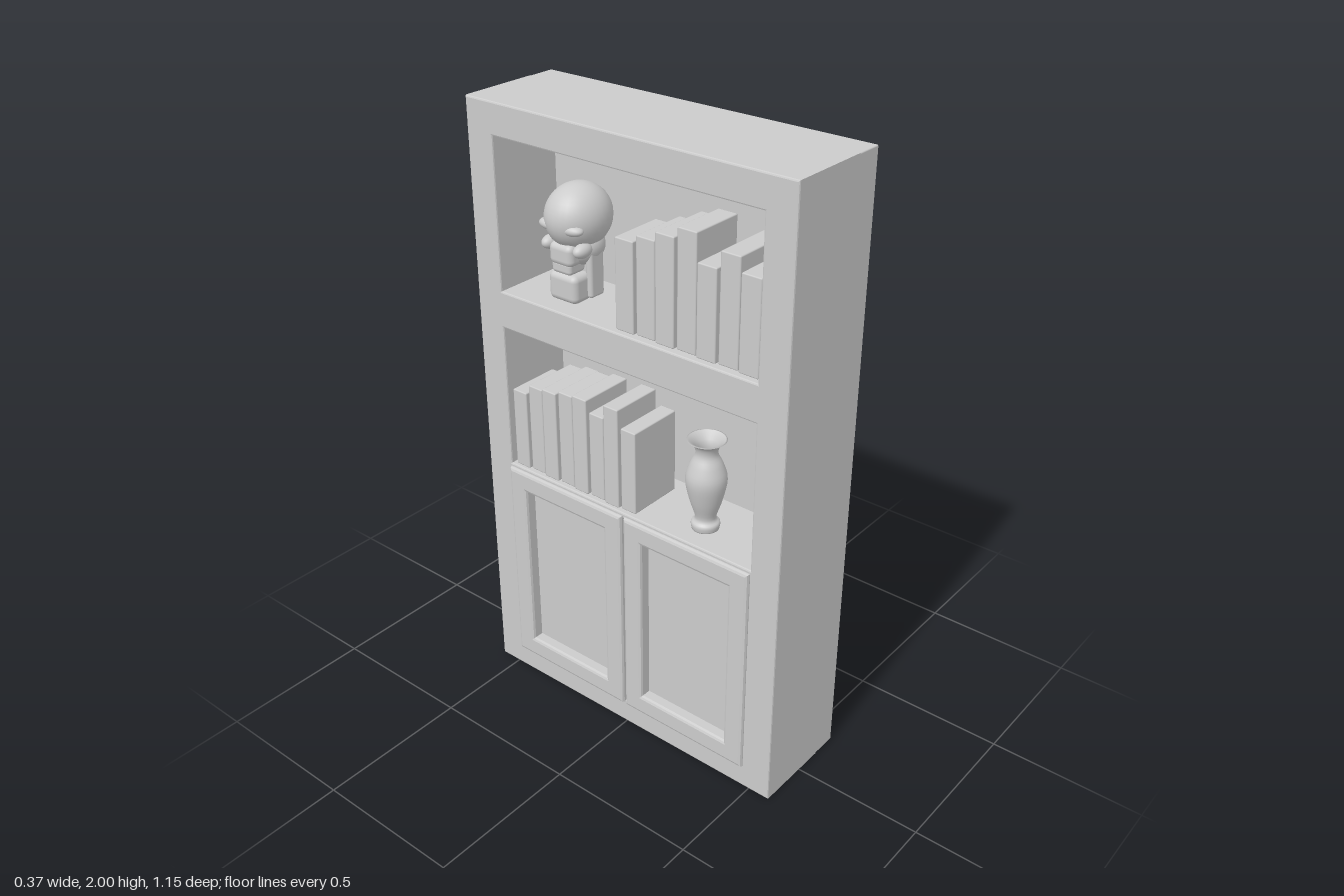
import * as THREE from 'three';
import { RoundedBoxGeometry } from 'three/addons/geometries/RoundedBoxGeometry.js';

const grey = new THREE.MeshStandardMaterial({ color: 0xcccccc });
const greyTwoSided = new THREE.MeshStandardMaterial({ color: 0xcccccc, side: THREE.DoubleSide });

function add(parent, name, geometry, x = 0, y = 0, z = 0, material = grey) {
  const mesh = new THREE.Mesh(geometry, material);
  mesh.name = name;
  mesh.position.set(x, y, z);
  parent.add(mesh);
  return mesh;
}

// Rectangle outline from two corners
function trace(path, x0, y0, x1, y1) {
  path.moveTo(x0, y0);
  path.lineTo(x1, y0);
  path.lineTo(x1, y1);
  path.lineTo(x0, y1);
  path.closePath();
  return path;
}

// Bevelled rectangular board with rectangular openings, from depth z0 to z1
function framedBoard(outer, holes, z0, z1, bevel) {
  const shape = trace(new THREE.Shape(), ...outer);
  for (const hole of holes) shape.holes.push(trace(new THREE.Path(), ...hole));
  const geometry = new THREE.ExtrudeGeometry(shape, {
    depth: z1 - z0 - 2 * bevel, bevelEnabled: true, bevelSegments: 2,
    bevelSize: bevel, bevelThickness: bevel, bevelOffset: -bevel,
  });
  return geometry.translate(0, 0, z0 + bevel);
}

// Row of upright books with varied heights and depths
function bookRow(name, start, end, floor, front, heights) {
  const row = new THREE.Group();
  row.name = name;
  const step = (end - start) / heights.length;
  heights.forEach((h, i) => {
    const depth = 0.18 + 0.012 * (i % 3);
    const spine = front - 0.006 * (i % 2);
    add(row, 'book', new RoundedBoxGeometry(step - 0.006, h, depth, 1, 0.004),
      start + (i + 0.5) * step, floor + h / 2, spine - depth / 2);
  });
  return row;
}

function makeVase() {
  const profile = new THREE.SplineCurve([
    [0.042, 0], [0.044, 0.02], [0.032, 0.04], [0.05, 0.1], [0.063, 0.17],
    [0.05, 0.22], [0.034, 0.255], [0.04, 0.285], [0.06, 0.302],
  ].map(([r, y]) => new THREE.Vector2(r, y))).getPoints(32);
  const inside = [[0.055, 0.303], [0.034, 0.282], [0.028, 0.255], [0.04, 0.2], [0, 0.1]]
    .map(([r, y]) => new THREE.Vector2(r, y));
  return new THREE.LatheGeometry([new THREE.Vector2(0, 0), ...profile, ...inside], 32);
}

// Skull ornament: cranium, brows, cheeks, teeth and jaw
function makeSkull() {
  const skull = new THREE.Group();
  skull.name = 'skullOrnament';
  const ball = new THREE.SphereGeometry(1, 28, 20);
  const blob = (name, x, y, z, sx, sy, sz) => add(skull, name, ball, x, y, z).scale.set(sx, sy, sz);
  blob('cranium', 0, 0.25, -0.01, 0.095, 0.1, 0.11);
  blob('skullBase', 0, 0.16, -0.01, 0.075, 0.06, 0.08);
  add(skull, 'upperJaw', new RoundedBoxGeometry(0.09, 0.07, 0.09, 3, 0.02), 0, 0.15, 0.035);
  add(skull, 'teeth', new RoundedBoxGeometry(0.075, 0.04, 0.07, 2, 0.012), 0, 0.11, 0.04);
  add(skull, 'chin', new RoundedBoxGeometry(0.11, 0.09, 0.08, 3, 0.02), 0, 0.045, 0.035);
  for (const side of [-1, 1]) {
    blob('brow', side * 0.04, 0.235, 0.065, 0.042, 0.018, 0.025);
    blob('cheek', side * 0.062, 0.17, 0.045, 0.022, 0.022, 0.035);
    add(skull, 'jawBranch', new RoundedBoxGeometry(0.025, 0.15, 0.06, 2, 0.01), side * 0.058, 0.085, -0.01);
  }
  return skull;
}

export function createModel() {
  const model = new THREE.Group();
  model.name = 'bookcase';
  // Built facing +z, then turned so the shelves open toward -x
  const body = new THREE.Group();
  body.name = 'bookcaseBody';
  body.rotation.y = -Math.PI / 2;
  model.add(body);

  // Case: solid back and front frame with two shelf bays and a cupboard bay
  add(body, 'backPanel', new RoundedBoxGeometry(1.148, 2, 0.1, 2, 0.004), 0, 1, -0.135);
  add(body, 'caseFrame', framedBoard([-0.574, 0, 0.574, 2], [
    [-0.475, 1.42, 0.475, 1.9],
    [-0.475, 0.82, 0.475, 1.3],
    [-0.47, 0.085, 0.47, 0.8],
  ], -0.1, 0.172, 0.005));

  // Cupboard: recessed panel behind a pair of framed doors
  add(body, 'doorPanels', new THREE.BoxGeometry(0.945, 0.72, 0.23), 0, 0.443, 0.03);
  for (const side of [-1, 1]) {
    const [a, b] = side < 0 ? [-0.475, -0.005] : [0.005, 0.475];
    add(body, side < 0 ? 'rightDoorFrame' : 'leftDoorFrame',
      framedBoard([a, 0.08, b, 0.81], [[a + 0.07, 0.15, b - 0.07, 0.74]], 0.13, 0.185, 0.01));
  }

  // Shelf contents
  body.add(bookRow('upperBooks', -0.04, 0.465, 1.42, 0.152, [0.28, 0.3, 0.33, 0.36, 0.28, 0.33, 0.29]));
  body.add(bookRow('lowerBooks', -0.465, 0.035, 0.82, 0.16, [0.27, 0.3, 0.31, 0.32, 0.33, 0.29, 0.34, 0.28]));
  add(body, 'vase', makeVase(), 0.235, 0.82, 0.07, greyTwoSided);
  const skull = makeSkull();
  skull.position.set(-0.28, 1.42, 0.04);
  body.add(skull);

  return model;
}
